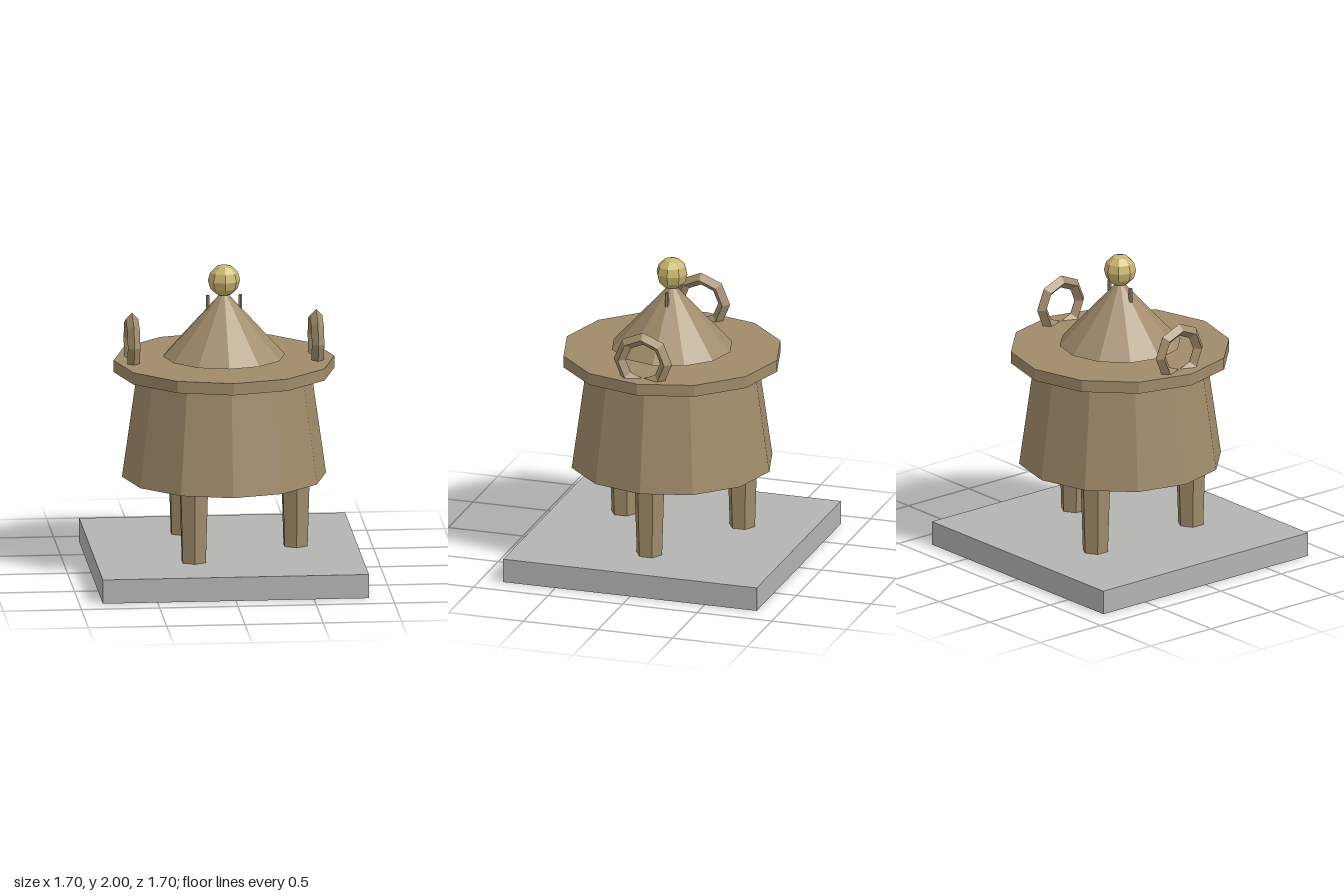
import * as THREE from 'three';

// Flat-shaded mesh helper
function addPart(parent, name, geometry, material, x = 0, y = 0, z = 0) {
  const mesh = new THREE.Mesh(geometry, material);
  mesh.name = name;
  mesh.position.set(x, y, z);
  parent.add(mesh);
  return mesh;
}

// Faceted tapered column between two heights
function addColumn(parent, name, material, sides, rTop, rBottom, y0, y1, x = 0, z = 0) {
  const geometry = new THREE.CylinderGeometry(rTop, rBottom, y1 - y0, sides);
  return addPart(parent, name, geometry, material, x, (y0 + y1) / 2, z);
}

function colour(name, hex) {
  const material = new THREE.MeshStandardMaterial({ color: hex, flatShading: true });
  material.name = name;
  return material;
}

export function createModel() {
  const model = new THREE.Group();
  model.name = 'tripodCauldron';

  const bronze = colour('bronze', 0xa08b6a);
  const gold = colour('gold', 0xcab56e);
  const stone = colour('stone', 0xb4b4b2);

  // Square plinth
  addPart(model, 'plinth', new THREE.BoxGeometry(1.7, 0.155, 1.7), stone, 0, 0.0775, 0);

  // Three legs, one on the +x side
  for (let i = 0; i < 3; i++) {
    const a = (i * Math.PI * 2) / 3;
    addColumn(model, 'leg', bronze, 6, 0.1, 0.085, 0.155, 0.63, 0.457 * Math.cos(a), 0.457 * Math.sin(a));
  }

  // Twelve-sided bowl and rim
  addColumn(model, 'bowl', bronze, 12, 0.555, 0.652, 0.625, 1.312, 0, 0);
  addColumn(model, 'rim', bronze, 12, 0.705, 0.705, 1.31, 1.387, 0, 0);

  // Conical lid floating just above the rim, with a round knob
  addColumn(model, 'lid', bronze, 12, 0, 0.39, 1.406, 1.835, 0, 0);
  addPart(model, 'knob', new THREE.SphereGeometry(0.103, 8, 6), gold, 0, 1.897, 0);

  // Mirrored ring handles and the thin rods through the lid
  for (const side of [1, -1]) {
    const handle = addPart(model, side > 0 ? 'leftHandle' : 'rightHandle',
      new THREE.TorusGeometry(0.155, 0.04, 4, 8), bronze, side * 0.588, 1.5, 0);
    handle.rotation.y = Math.PI / 2;
    addColumn(model, side > 0 ? 'leftRod' : 'rightRod', bronze, 6, 0.013, 0.013, 1.37, 1.8, side * 0.104, 0);
  }

  return model;
}
